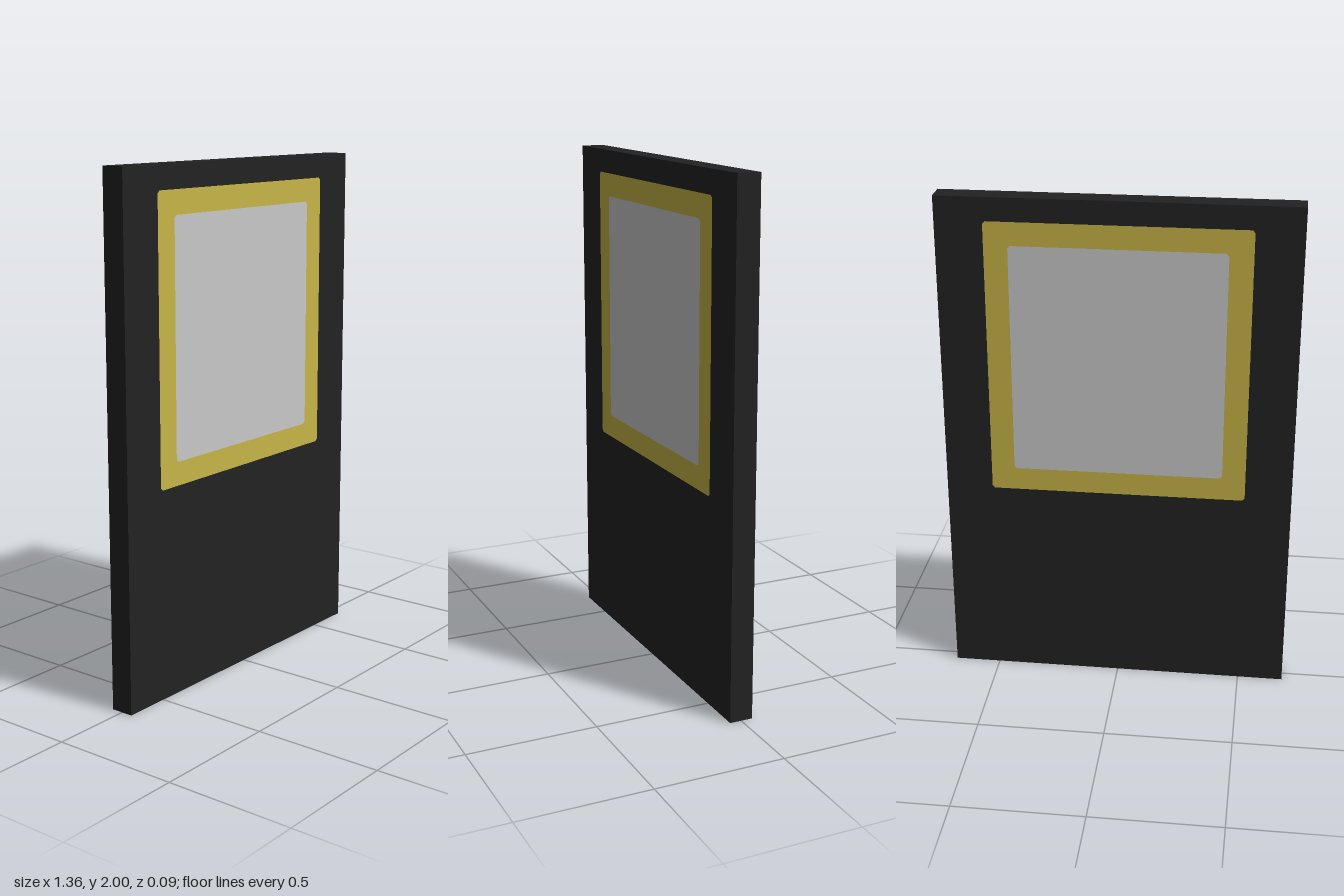
import * as THREE from 'three';

const U = 1 / 11; // panel thickness, used as the layout unit
const material = (name, color) => new THREE.MeshStandardMaterial({ name, color });

// Rectangle outline with optional clipped corners, centred on x = 0
function outline(target, halfWidth, bottom, top, clip = 0) {
  const w = halfWidth, c = clip;
  const corners = c
    ? [[-w + c, bottom], [w - c, bottom], [w, bottom + c], [w, top - c],
       [w - c, top], [-w + c, top], [-w, top - c], [-w, bottom + c]]
    : [[-w, bottom], [w, bottom], [w, top], [-w, top]];
  return target.setFromPoints(corners.map(([x, y]) => new THREE.Vector2(x, y)));
}

export function createModel() {
  const model = new THREE.Group();
  model.name = 'framedPanel';

  const body = [7.5 * U, 0, 2];
  const frame = [5.5 * U, 9 * U, 21 * U, 0.01];
  const pane = [4.5 * U, 10 * U, 20 * U, 0.01];

  // Each part fills the opening of the one around it, flush on both faces
  const addPart = (name, outer, inner, mat) => {
    const shape = outline(new THREE.Shape(), ...outer);
    if (inner) shape.holes.push(outline(new THREE.Path(), ...inner));
    const geometry = new THREE.ExtrudeGeometry(shape, { depth: U, bevelEnabled: false });
    geometry.translate(0, 0, -U / 2);
    const mesh = new THREE.Mesh(geometry, mat);
    mesh.name = name;
    model.add(mesh);
  };

  addPart('panelBody', body, frame, material('black', 0x222222));
  addPart('windowFrame', frame, pane, material('yellow', 0xc8b548));
  addPart('windowPane', pane, null, material('lightGrey', 0xc9c9c9));

  return model;
}
